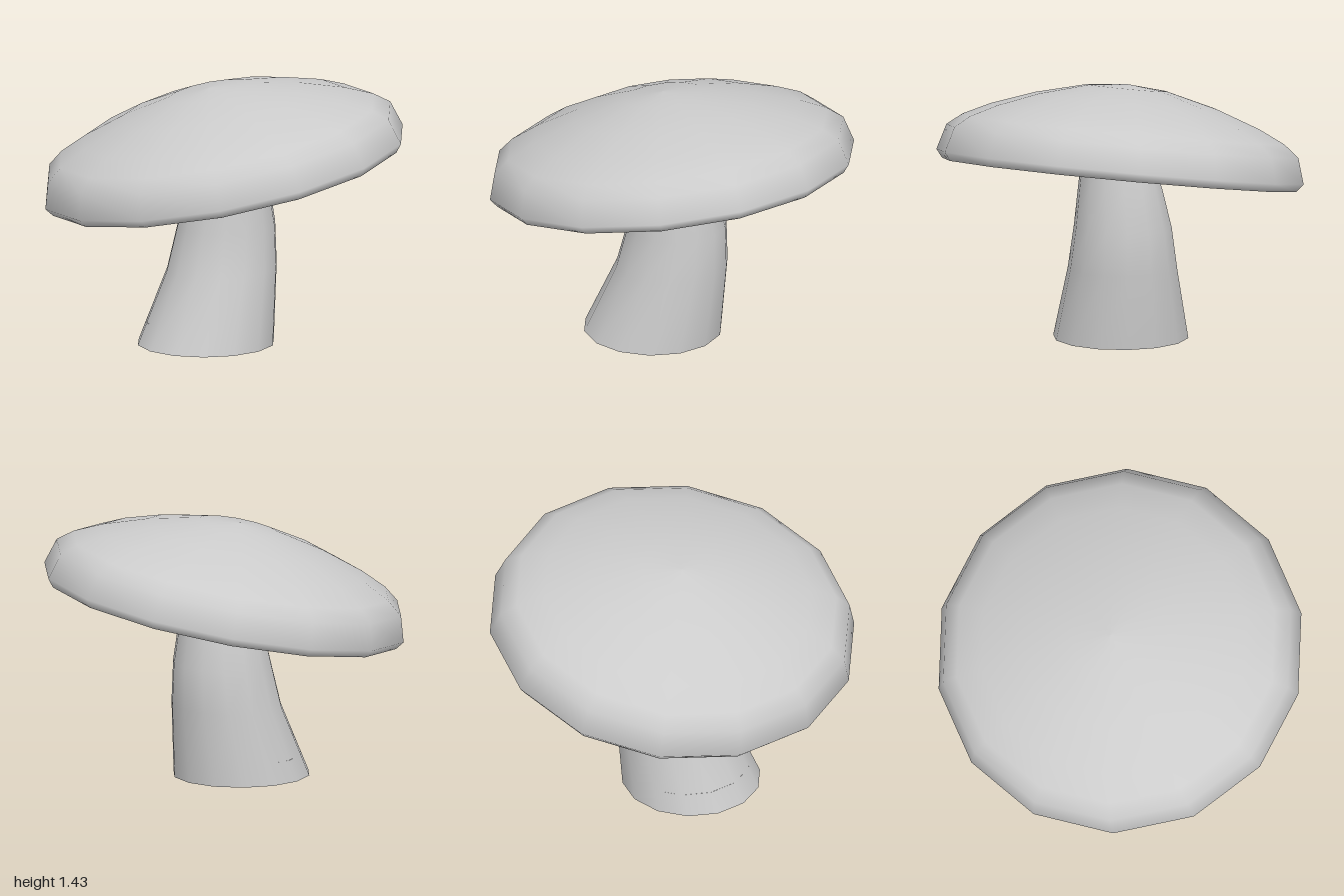
import * as THREE from 'three';

const SIDES = 14;
const material = new THREE.MeshStandardMaterial({ color: 0xcccccc, side: THREE.DoubleSide });
// Cap's rim plane: y = RIM_Y + TILT_X * x + TILT_Z * z
const RIM_Y = 0.92, TILT_X = 0.16, TILT_Z = 0.11;

// Tilted dome with a rounded rim and a shallow hollow underside
function createCap() {
  const profile = [
    [0, 0.03], [0.25, 0.028], [0.92, 0.025], [0.975, 0], [1.01, 0.045], [0.968, 0.185],
    [0.886, 0.25], [0.74, 0.32], [0.5, 0.405], [0.22, 0.475], [0, 0.495],
  ].map(([r, y]) => new THREE.Vector2(r, y));
  const cap = new THREE.Mesh(new THREE.LatheGeometry(profile, SIDES, Math.PI / 2), material);
  const axis = new THREE.Vector3(-TILT_X, 1, -TILT_Z).normalize();
  cap.quaternion.setFromUnitVectors(new THREE.Vector3(0, 1, 0), axis);
  cap.position.y = RIM_Y;
  cap.name = 'cap';
  return cap;
}

// Bent, tapering stem lofted through rings; the last ring follows the cap's tilt
function createStem() {
  const rings = [ // y, centre x, centre z, radius x, radius z, tilt
    [0, -0.12, -0.02, 0.38, 0.37, 0],
    [0.4, -0.012, -0.02, 0.308, 0.3, 0.2],
    [0.64, 0.018, -0.018, 0.273, 0.268, 0.1],
    [0.86, 0.012, -0.005, 0.23, 0.23, 0.7],
    [0.965, 0.01, 0.005, 0.207, 0.207, 1],
  ];
  const positions = [], index = [];
  rings.forEach(([y, cx, cz, rx, rz, tilt], i) => {
    for (let j = 0; j < SIDES; j++) {
      const a = (j / SIDES) * Math.PI * 2;
      const dx = rx * Math.cos(a), dz = rz * Math.sin(a);
      positions.push(cx + dx, y + tilt * (TILT_X * dx + TILT_Z * dz), cz + dz);
      if (i === 0) continue;
      const k = (j + 1) % SIDES, lo = (i - 1) * SIDES, hi = i * SIDES;
      index.push(lo + j, hi + j, lo + k, lo + k, hi + j, hi + k);
    }
  });
  const geometry = new THREE.BufferGeometry();
  geometry.setAttribute('position', new THREE.Float32BufferAttribute(positions, 3));
  geometry.setIndex(index);
  geometry.computeVertexNormals();
  const stem = new THREE.Mesh(geometry, material);
  stem.name = 'stem';
  return stem;
}

// Slightly recessed floor closing the stem's foot
function createStemBase() {
  const base = new THREE.Mesh(new THREE.CircleGeometry(1, SIDES), material);
  base.scale.set(0.357, 0.349, 1);
  base.rotation.x = Math.PI / 2;
  base.position.set(-0.088, 0.12, -0.02);
  base.name = 'stemBase';
  return base;
}

export function createModel() {
  const mushroom = new THREE.Group();
  mushroom.name = 'mushroom';
  mushroom.add(createCap(), createStem(), createStemBase());
  return mushroom;
}
